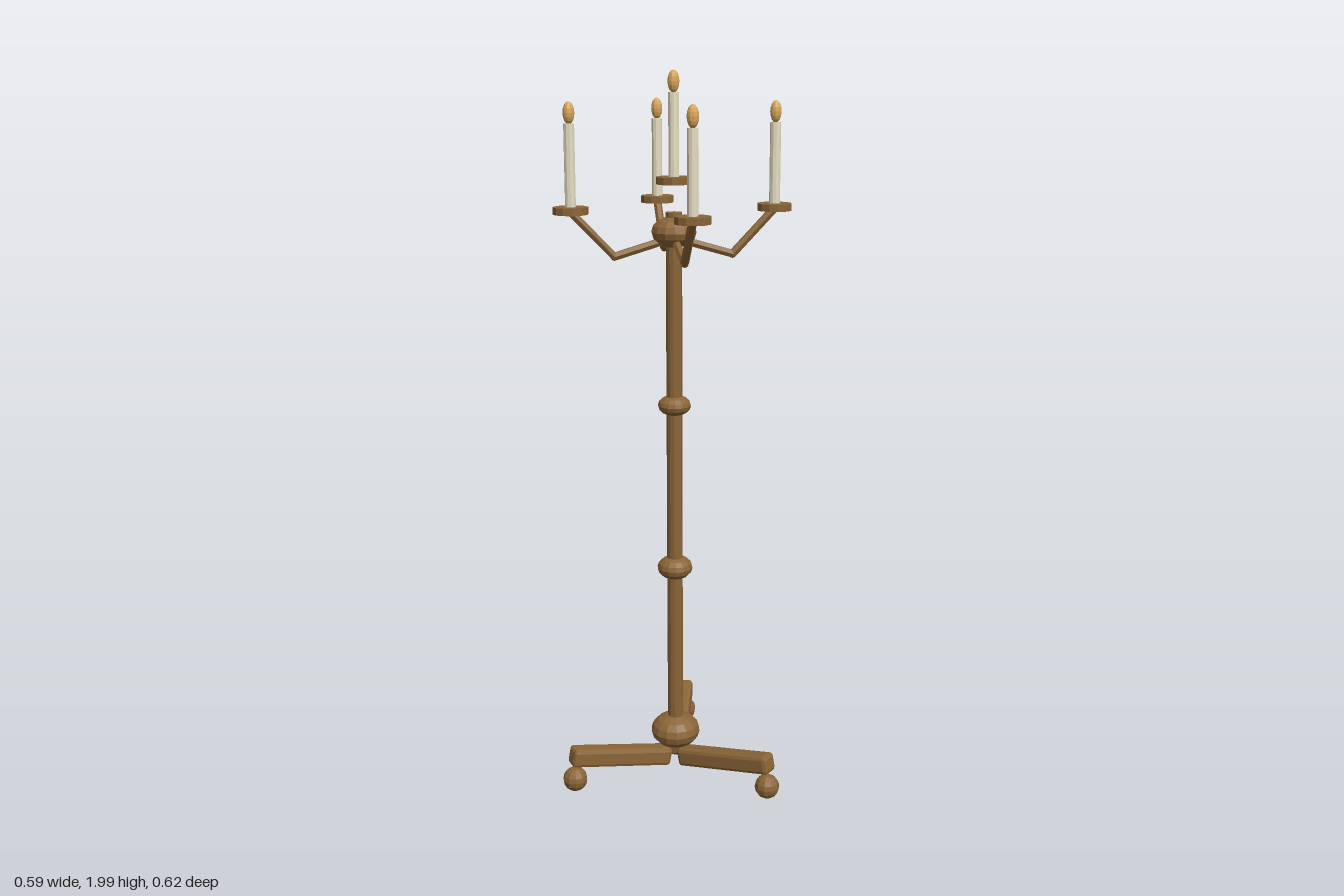
import * as THREE from 'three';
import { RoundedBoxGeometry } from 'three/addons/geometries/RoundedBoxGeometry.js';

export function createModel() {
  const model = new THREE.Group();
  model.name = 'floorCandelabra';
  const material = (name, color) => {
    const m = new THREE.MeshStandardMaterial({ color, flatShading: true });
    m.name = name;
    return m;
  };
  const bronze = material('bronze', 0x8a6537);
  const wax = material('wax', 0xe8dfc4);
  const flameColour = material('flame', 0xd9a75c);

  // The pole stands slightly off centre because of the three legs
  const stand = new THREE.Group();
  stand.name = 'stand';
  stand.position.x = -0.056;
  model.add(stand);

  const add = (parent, name, geometry, mat, x, y, z = 0) => {
    const mesh = new THREE.Mesh(geometry, mat);
    mesh.name = name;
    mesh.position.set(x, y, z);
    parent.add(mesh);
    return mesh;
  };
  const rod = (parent, name, a, b, r) => {
    const mesh = add(parent, name, new THREE.CylinderGeometry(r, r, a.distanceTo(b), 6), bronze, 0, 0);
    mesh.position.lerpVectors(a, b, 0.5);
    mesh.quaternion.setFromUnitVectors(new THREE.Vector3(0, 1, 0), b.clone().sub(a).normalize());
  };

  // Pole and its flattened knobs: name, height, radius, half height
  add(stand, 'pole', new THREE.CylinderGeometry(0.022, 0.022, 1.535, 12), bronze, 0, 0.8675);
  for (const [name, y, r, h] of [
    ['baseKnob', 0.13, 0.071, 0.05],
    ['lowerKnob', 0.635, 0.05, 0.034],
    ['upperKnob', 1.108, 0.046, 0.029],
    ['topKnob', 1.583, 0.061, 0.042],
  ]) {
    add(stand, name, new THREE.SphereGeometry(r, 14, 8).scale(1, h / r, 1), bronze, 0, y);
  }

  // Three rising legs on ball feet
  for (let i = 0; i < 3; i++) {
    const leg = new THREE.Group();
    leg.name = 'leg' + (i + 1);
    leg.rotation.y = (i * Math.PI * 2) / 3;
    add(leg, 'legBar', new RoundedBoxGeometry(0.31, 0.054, 0.052, 1, 0.011), bronze, 0.174, 0.084)
      .rotation.z = 0.2;
    add(leg, 'footBall', new THREE.SphereGeometry(0.035, 10, 8), bronze, 0.316, 0.042);
    stand.add(leg);
  }

  // Drip dish, candle and flame
  const addCandle = (parent, x, y, height) => {
    const candle = new THREE.Group();
    candle.name = 'candleSet';
    candle.position.set(x, y, 0);
    add(candle, 'dripDish', new THREE.CylinderGeometry(0.047, 0.047, 0.019, 12), bronze, 0, 0);
    add(candle, 'candle', new THREE.CylinderGeometry(0.0145, 0.0145, height, 10), wax, 0, 0.0095 + height / 2);
    add(candle, 'flame', new THREE.SphereGeometry(0.0155, 10, 8).scale(1, 1.87, 1), flameColour, 0, height + 0.0365);
    parent.add(candle);
  };

  // Four bent arms at the diagonals
  for (let i = 0; i < 4; i++) {
    const arm = new THREE.Group();
    arm.name = 'arm' + (i + 1);
    arm.rotation.y = Math.PI / 4 + (i * Math.PI) / 2;
    const root = new THREE.Vector3(0.02, 1.562, 0);
    const elbow = new THREE.Vector3(0.16, 1.521, 0);
    const tip = new THREE.Vector3(0.274, 1.64, 0);
    rod(arm, 'innerArm', root, elbow, 0.0115);
    rod(arm, 'outerArm', elbow, tip, 0.0115);
    add(arm, 'elbow', new THREE.SphereGeometry(0.0115, 6, 5), bronze, elbow.x, elbow.y);
    addCandle(arm, 0.274, 1.644, 0.213);
    stand.add(arm);
  }

  // Raised centre candle floating over the pole
  addCandle(stand, 0, 1.718, 0.217);
  return model;
}
